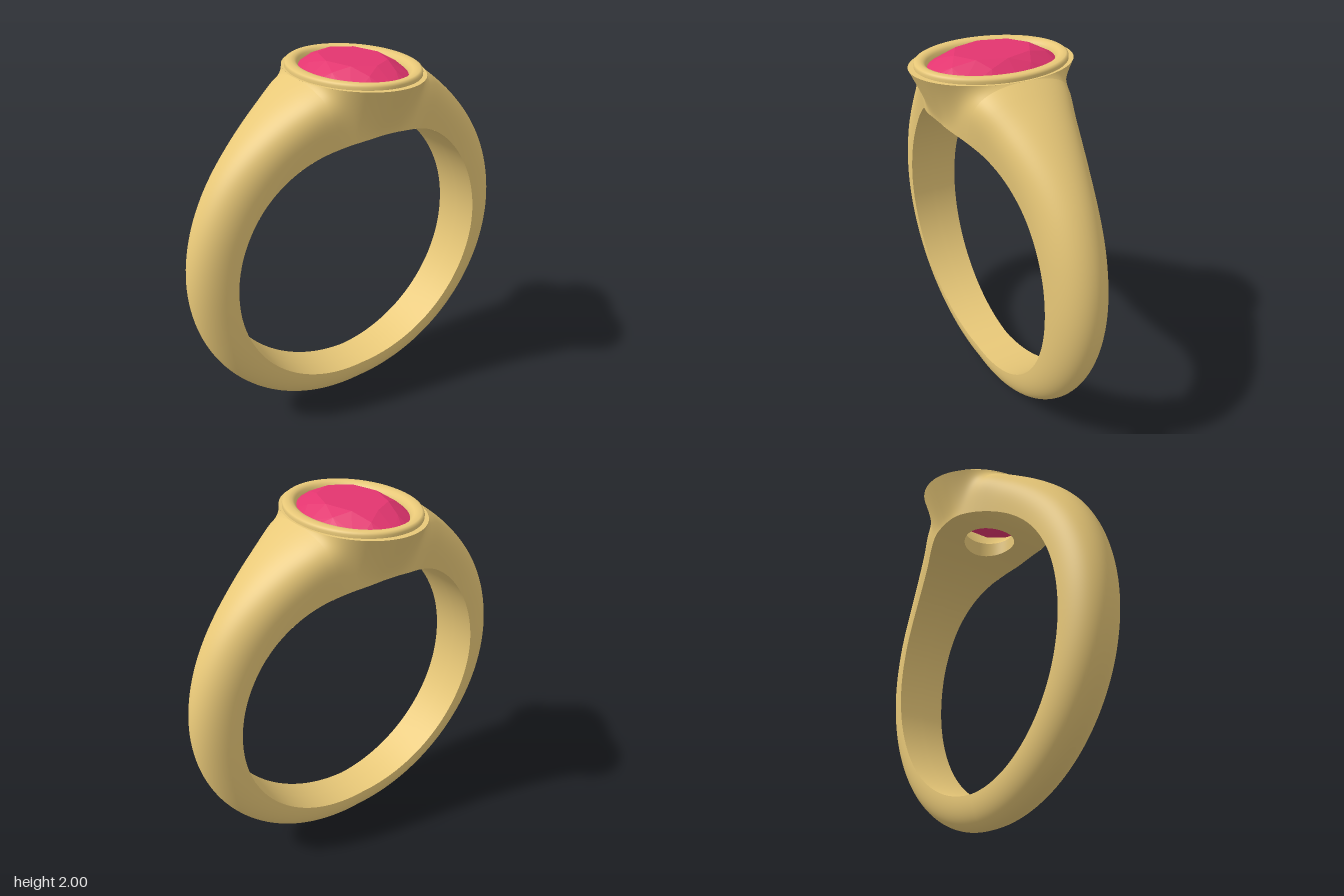
import * as THREE from 'three';
import { mergeGeometries, mergeVertices } from 'three/addons/utils/BufferGeometryUtils.js';
import { ConvexGeometry } from 'three/addons/geometries/ConvexGeometry.js';

const CY = 0.935, RI = 0.765;            // finger hole centre height and radius
const DECK = 1.01;                       // height of the flat head above the centre
const OX = 0.32, OZ = 0.42;              // half axes of the head oval
const HOLE = 0.148;                      // light hole beneath the stone
const TIP = Math.atan(OX / DECK);        // angle where the oval ends and the shank begins

// Smooth lookup through [angle, value] pairs
function lookup(pairs) {
  const c = new THREE.CubicInterpolant(pairs.map(p => p[0]), pairs.map(p => p[1]), 1);
  return a => c.evaluate(a)[0];
}
const innerHalfWidth = lookup([[0, 0.31], [0.15, 0.302], [0.3, 0.268], [0.45, 0.228], [0.62, 0.195],
  [0.87, 0.166], [1.2, 0.152], [1.57, 0.146], [2.4, 0.128], [Math.PI, 0.108]]);
const fullness = lookup([[0, 1.3], [0.1, 1.4], [0.2, 2.2], [TIP, 5.2], [0.5, 4.2], [0.8, 2.9],
  [1.2, 2.4], [2, 2.2], [Math.PI, 2.2]]);
const crest = lookup([[TIP, DECK / Math.cos(TIP)], [0.42, 1.032], [0.65, 0.998], [1, 0.979],
  [1.57, 0.965], [2.3, 0.946], [Math.PI, 0.931]]);

// Grid surface from f(u, v) -> [x, y, z], optionally mirrored
function grid(f, nu, nv, sx = 1, sz = 1) {
  const pos = [], idx = [];
  for (let i = 0; i <= nu; i++) {
    for (let j = 0; j <= nv; j++) {
      const [x, y, z] = f(i / nu, j / nv);
      pos.push(x * sx, y, z * sz);
      if (i === nu || j === nv) continue;
      const a = i * (nv + 1) + j, b = a + nv + 1;
      if (sx * sz > 0) idx.push(a, b, b + 1, a, b + 1, a + 1);
      else idx.push(a, b + 1, b, a, a + 1, b + 1);
    }
  }
  const g = new THREE.BufferGeometry();
  g.setAttribute('position', new THREE.Float32BufferAttribute(pos, 3));
  g.setIndex(idx);
  return g;
}
function smooth(geometry) {
  const g = mergeVertices(geometry, 1e-4);
  g.computeVertexNormals();
  return g;
}
// Four mirrored quarters welded into one smooth surface
const quarters = (f, nu, nv) => smooth(mergeGeometries(
  [[1, 1], [-1, 1], [1, -1], [-1, -1]].map(([sx, sz]) => grid(f, nu, nv, sx, sz))));

// Outside: from the inner edge out to the head oval, or to the crest of the shank
function outerPoint(u, v) {
  const s = u * 2.5;                     // first two fifths cover the head
  const a = s <= 1 ? Math.atan(OX * Math.sin(s * Math.PI / 2) / DECK)
    : TIP + (Math.PI - TIP) * (s - 1) / 1.5;
  const top = s <= 1 ? DECK / Math.cos(a) : crest(a);
  const edge = s < 1 ? OZ * OZ * (1 - (DECK * Math.tan(a) / OX) ** 2) : 0;
  const q = v === 1 ? 1 : Math.sin(v * Math.PI / 2);
  const r = RI + (top - RI) * q;
  const w2 = innerHalfWidth(a) ** 2;
  const z = Math.sqrt(Math.max(0, w2 + (edge - w2) * Math.pow(q, fullness(a))));
  return [r * Math.sin(a), CY + r * Math.cos(a), z];
}

// Inside: finger surface with the round light hole left open
function innerPoint(u, v) {
  const s = u * 4;
  const x = HOLE * Math.sin(Math.min(s, 1) * Math.PI / 2), start = Math.asin(HOLE / RI);
  const a = s <= 1 ? Math.asin(x / RI) : start + (Math.PI - start) * (s - 1) / 3;
  const z0 = s < 1 ? Math.sqrt(HOLE * HOLE - x * x) : 0;
  return [RI * Math.sin(a), CY + RI * Math.cos(a), z0 + (innerHalfWidth(a) - z0) * v];
}

// Oval band through profile rows [half x, half z, y]; a null y follows the finger surface
function ovalBand(rows) {
  const n = rows.length - 1;
  return smooth(grid((u, v) => {
    const [rx, rz, y] = rows[Math.round(v * n)];
    const t = u * Math.PI * 2, x = rx * Math.cos(t);
    return [x, y ?? CY + Math.sqrt(RI * RI - x * x), -rz * Math.sin(t)];
  }, 96, n));
}

// Oval faceted stone: table, crown, girdle, pavilion and culet
function stoneGeometry() {
  const pts = [];
  const ring = (n, rx, rz, y, offset = 0) => {
    for (let i = 0; i < n; i++) {
      const t = (i + offset) / n * Math.PI * 2;
      pts.push(new THREE.Vector3(rx * Math.cos(t), y, rz * Math.sin(t)));
    }
  };
  ring(8, 0.15, 0.205, 2.0);
  ring(8, 0.198, 0.273, 1.974, 0.5);
  ring(32, 0.238, 0.328, 1.94);
  ring(32, 0.238, 0.328, 1.93);
  ring(8, 0.125, 0.17, 1.815, 0.5);
  ring(1, 0, 0, 1.74);
  return new ConvexGeometry(pts);
}

export function createModel() {
  const model = new THREE.Group();
  model.name = 'ring';
  const gold = new THREE.MeshStandardMaterial({ color: 0xe8c878, side: THREE.DoubleSide });
  const red = new THREE.MeshStandardMaterial({ color: 0xe2356f, flatShading: true });
  const add = (name, geometry, material = gold) => {
    const mesh = new THREE.Mesh(geometry, material);
    mesh.name = name;
    model.add(mesh);
  };

  add('shankAndShoulders', quarters(outerPoint, 120, 24));
  add('fingerSurface', quarters(innerPoint, 96, 6));

  // Head: flat deck, rounded bezel rim, stone seat and light hole
  add('headDeck', ovalBand([[OX, OZ, 1.945], [0.3, 0.38, 1.945]]));
  add('bezelRim', ovalBand([[0.31, 0.39, 1.943], [0.31, 0.39, 1.958], [0.306, 0.386, 1.967],
    [0.296, 0.378, 1.972], [0.275, 0.361, 1.972], [0.257, 0.346, 1.968], [0.244, 0.335, 1.957],
    [0.237, 0.327, 1.94], [0.235, 0.325, 1.925]]));
  add('stoneSeat', ovalBand([[0.235, 0.325, 1.925], [HOLE, HOLE, 1.78]]));
  add('lightHole', ovalBand([[HOLE, HOLE, 1.78], [HOLE, HOLE, null]]));

  add('stone', stoneGeometry(), red);
  return model;
}
